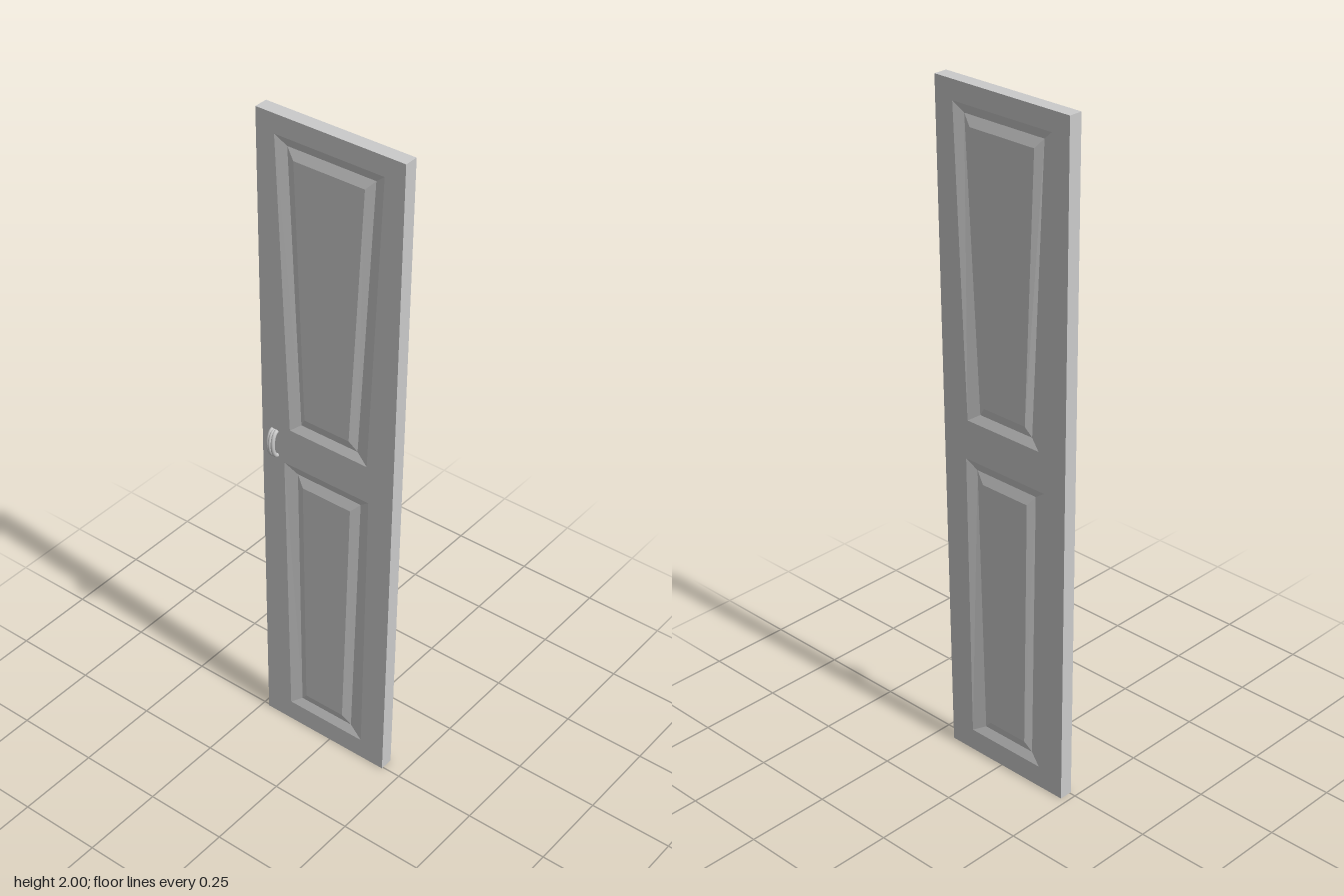
import * as THREE from 'three';
import { mergeGeometries } from 'three/addons/utils/BufferGeometryUtils.js';

const MID_Z = -0.0155, HALF = 0.0205, GROOVE = 0.01;

// Trapezoid corners, counter-clockwise: bottom left, bottom right, top right, top left
const trapezoid = (y0, l0, r0, y1, l1, r1) => [[l0, y0], [r0, y0], [r1, y1], [l1, y1]];

const outline = trapezoid(0, -0.23, 0.193, 2, -0.23, 0.229);

// Each panel: rim of the recess, bottom of the groove, raised field
const panels = {
  upperPanel: [
    trapezoid(1.062, -0.135, 0.124, 1.944, -0.172, 0.167),
    trapezoid(1.088, -0.103, 0.086, 1.917, -0.139, 0.135),
    trapezoid(1.117, -0.085, 0.063, 1.888, -0.113, 0.108),
  ],
  lowerPanel: [
    trapezoid(0.066, -0.144, 0.115, 0.945, -0.156, 0.131),
    trapezoid(0.094, -0.109, 0.071, 0.917, -0.117, 0.098),
    trapezoid(0.123, -0.087, 0.045, 0.886, -0.093, 0.069),
  ],
};

function quadsGeometry(quads) {
  const pos = [];
  for (const [a, b, c, d] of quads) for (const p of [a, b, c, a, c, d]) pos.push(...p);
  const g = new THREE.BufferGeometry();
  g.setAttribute('position', new THREE.Float32BufferAttribute(pos, 3));
  g.computeVertexNormals();
  return g;
}

// Sloping band between two loops of corners
function band(a, za, b, zb) {
  return a.map((p, i) => {
    const j = (i + 1) % a.length;
    return [[...p, za], [...a[j], za], [...b[j], zb], [...b[i], zb]];
  });
}

// Front geometry plus its reflection on the back, with the corner order reversed
function bothSides(front) {
  const back = front.clone();
  const p = back.attributes.position;
  for (let i = 0; i < p.count; i += 3) {
    const tri = [0, 2, 1].map(k => new THREE.Vector3().fromBufferAttribute(front.attributes.position, i + k));
    tri.forEach((v, k) => p.setXYZ(i + k, v.x, v.y, -v.z));
  }
  back.computeVertexNormals();
  return mergeGeometries([front, back]);
}

export function createModel() {
  const group = new THREE.Group();
  const material = new THREE.MeshStandardMaterial({ color: 0xcccccc });
  const add = (name, geometry, parent = group) => {
    const mesh = new THREE.Mesh(geometry, material);
    mesh.name = name;
    parent.add(mesh);
    return mesh;
  };

  const door = new THREE.Group();
  door.name = 'door';
  door.position.z = MID_Z;
  group.add(door);

  // Flat frame with two openings, front and back
  const toPoints = loop => loop.map(p => new THREE.Vector2(...p));
  const shape = new THREE.Shape(toPoints(outline));
  for (const [rim] of Object.values(panels)) shape.holes.push(new THREE.Path(toPoints(rim)));
  const face = new THREE.ShapeGeometry(shape).toNonIndexed();
  face.translate(0, 0, HALF);
  add('frame', bothSides(face), door);

  // Narrow sides of the door
  add('frameEdges', quadsGeometry(band(outline, -HALF, outline, HALF)), door);

  // Recessed grooves and raised fields
  for (const [name, [rim, groove, field]] of Object.entries(panels)) {
    const low = HALF - GROOVE;
    add(name, bothSides(quadsGeometry([
      ...band(rim, HALF, groove, low),
      ...band(groove, low, field, HALF - 0.001),
      field.map(p => [...p, HALF - 0.001]),
    ])), door);
  }

  // Bowed pull handle made of three joined bars
  const handle = new THREE.Group();
  handle.name = 'handle';
  handle.position.set(-0.1875, 1, MID_Z + HALF);
  group.add(handle);
  const bars = [
    { x: -0.0075, r: 0.006, reach: 0.019 },
    { x: 0, r: 0.005, reach: 0.023 },
    { x: 0.0075, r: 0.006, reach: 0.019 },
  ];
  for (const { x, r, reach } of bars) {
    const points = [];
    for (let i = 0; i <= 12; i++) {
      const t = (i / 12 - 0.5) * Math.PI;
      points.push(new THREE.Vector3(x, 0.04 * Math.sin(t), reach * Math.cos(t)));
    }
    add('handleBar', new THREE.TubeGeometry(new THREE.CatmullRomCurve3(points), 24, r, 12), handle);
  }
  return group;
}
